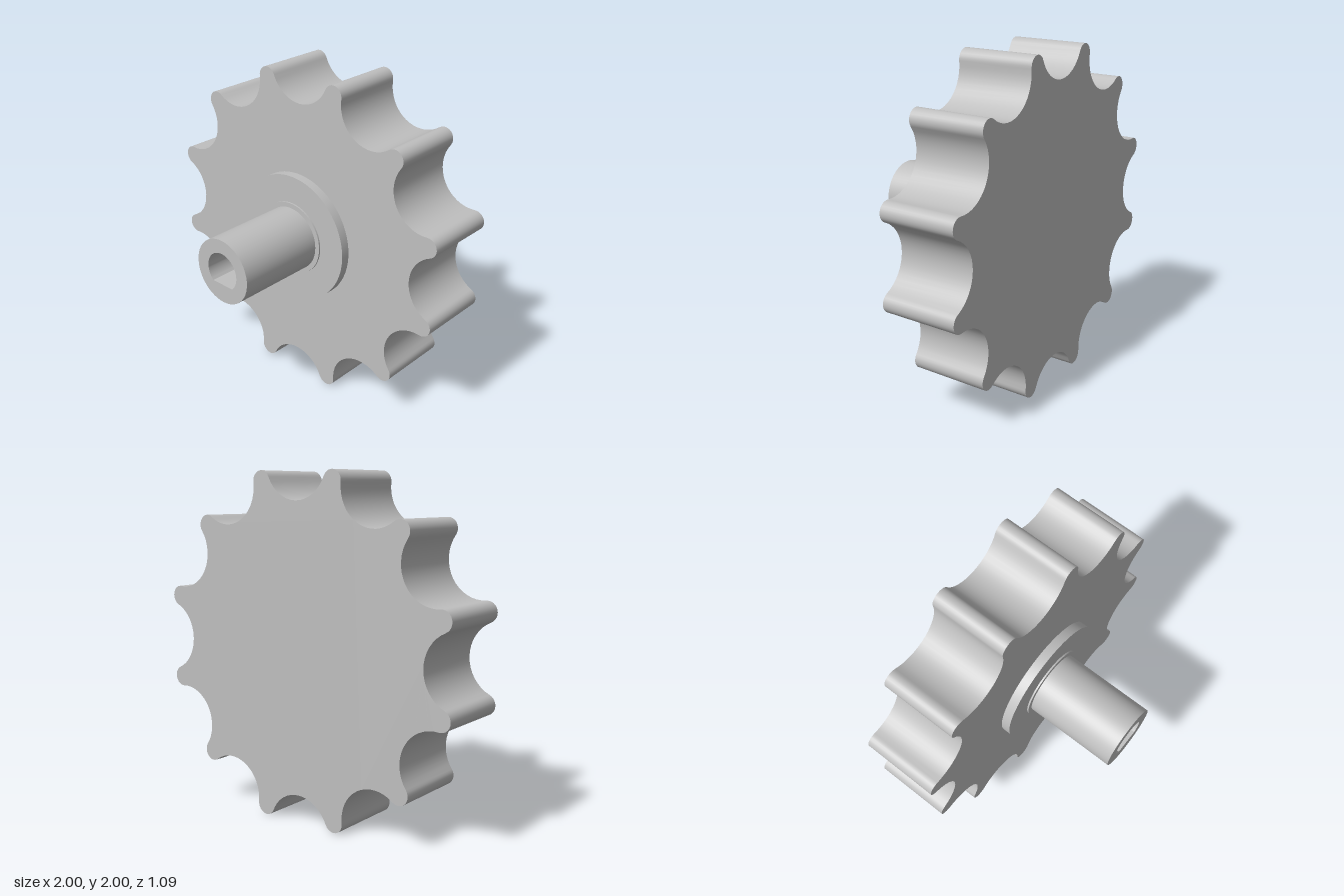
import * as THREE from 'three';
import { toCreasedNormals } from 'three/addons/utils/BufferGeometryUtils.js';

const TEETH = 12;
const STEP = (Math.PI * 2) / TEETH;
const ROOT = 0.835;      // radius at the bottom of each roller seat
const TIP = 0.06;        // rounding radius of the tooth tips
const TIP_X = 0.94;      // tip centre, measured from the wheel centre
const TIP_Y = TIP_X * Math.tan(STEP / 2);

// Outline of rounded seats that run tangentially into rounded tips
function sprocketShape() {
  const d = TIP_X - ROOT;
  const seat = (d * d + TIP_Y * TIP_Y - TIP * TIP) / (2 * (d + TIP));
  const seatX = ROOT + seat;
  const beta = Math.atan2(TIP_Y, TIP_X - seatX);
  const points = [];
  const arc = (cx, cy, r, from, to, n, turn) => {
    for (let i = 0; i < n; i++) {
      const a = from + ((to - from) * i) / n;
      points.push(new THREE.Vector2(cx + r * Math.cos(a), cy + r * Math.sin(a))
        .rotateAround(new THREE.Vector2(), turn));
    }
  };
  for (let k = 0; k < TEETH; k++) {
    arc(seatX, 0, seat, Math.PI * 2 - beta, beta, 16, k * STEP);
    arc(TIP_X, TIP_Y, TIP, beta - Math.PI, STEP + Math.PI - beta, 12, k * STEP);
  }
  return new THREE.Shape(points);
}

function discShape(radius, hole) {
  const shape = new THREE.Shape().absarc(0, 0, radius, 0, Math.PI * 2, false);
  shape.holes.push(hole);
  return shape;
}

const roundHole = (r) => new THREE.Path().absarc(0, 0, r, 0, Math.PI * 2, true);

// Bore with a flat along its lower side
function keyedHole(r, flat) {
  const a = Math.asin(flat / r);
  const path = new THREE.Path().absarc(0, 0, r, -a, Math.PI + a, false);
  path.closePath();
  return path;
}

export function createModel() {
  const group = new THREE.Group();
  const steel = new THREE.MeshStandardMaterial({ color: 0xbfbfbf });
  steel.name = 'grey steel';

  const addPart = (name, shape, back, front) => {
    const geometry = new THREE.ExtrudeGeometry(shape, {
      depth: front - back, bevelEnabled: false, curveSegments: 32,
    });
    const mesh = new THREE.Mesh(toCreasedNormals(geometry, 0.6), steel);
    mesh.name = name;
    mesh.position.set(0, 1, back);
    group.add(mesh);
  };

  addPart('toothedWheel', sprocketShape(), -0.547, -0.087);
  addPart('flange', discShape(0.4, roundHole(0.2)), -0.087, -0.03);
  addPart('shoulderRing', discShape(0.23, roundHole(0.2)), -0.03, -0.02);
  addPart('hollowShaft', discShape(0.2, keyedHole(0.115, 0.085)), -0.087, 0.547);

  return group;
}
